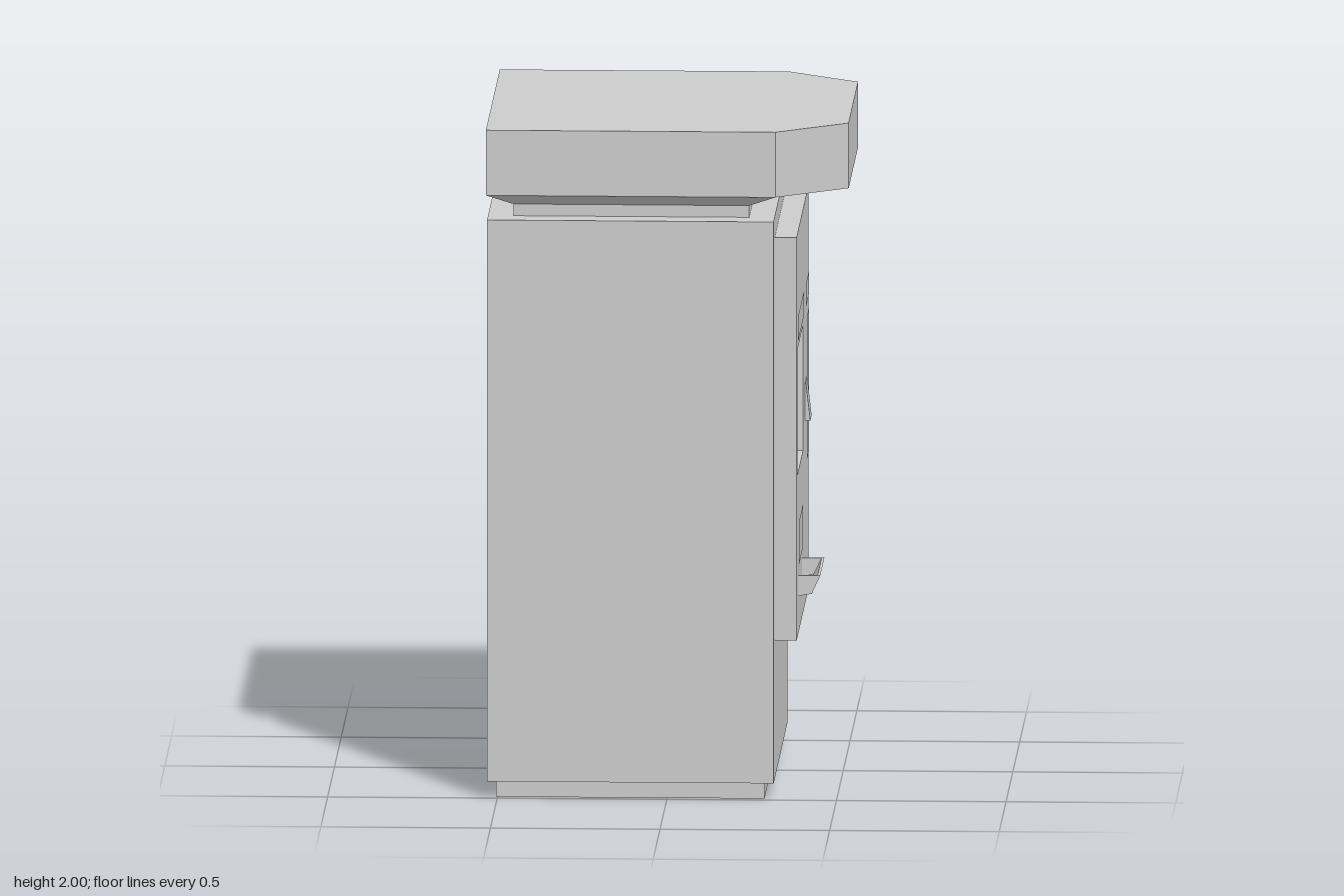
import * as THREE from 'three';

const mat = new THREE.MeshStandardMaterial({ color: 0xcccccc, flatShading: true });
const thinMat = new THREE.MeshStandardMaterial({ color: 0xcccccc, flatShading: true, side: THREE.DoubleSide });

export function createModel() {
  const model = new THREE.Group();
  const add = (name, geometry, material = mat) => {
    const mesh = new THREE.Mesh(geometry, material);
    mesh.name = name;
    model.add(mesh);
    return mesh;
  };

  // Box given by its extents
  const box = (name, x0, x1, y0, y1, z0, z1) =>
    add(name, new THREE.BoxGeometry(x1 - x0, y1 - y0, z1 - z0)
      .translate((x0 + x1) / 2, (y0 + y1) / 2, (z0 + z1) / 2));

  const shapeOf = (pts) => new THREE.Shape(pts.map(([a, b]) => new THREE.Vector2(a, b)));
  const extrude = (shape, depth) => new THREE.ExtrudeGeometry(shape, { depth, bevelEnabled: false });

  // Skin between two four-cornered rings, with a cap on the last one
  const loft = (first, last) => {
    const pos = [];
    const quad = (a, b, c, d) => pos.push(...a, ...b, ...c, ...a, ...c, ...d);
    for (let i = 0; i < 4; i++) {
      const j = (i + 1) % 4;
      quad(first[i], first[j], last[j], last[i]);
    }
    quad(...last);
    const g = new THREE.BufferGeometry();
    g.setAttribute('position', new THREE.Float32BufferAttribute(pos, 3));
    g.computeVertexNormals();
    return g;
  };
  const flatRing = (y, x0, x1, z) => [[x0, y, z], [x1, y, z], [x1, y, -z], [x0, y, -z]];
  const wallRing = (x, y0, y1, z0, z1) => [[x, y0, z1], [x, y0, z0], [x, y1, z0], [x, y1, z1]];

  // Cabinet
  box('plinth', -0.505, 0.287, 0, 0.05, -0.475, 0.475);
  box('cabinet', -0.53, 0.315, 0.05, 1.73, -0.5, 0.5);
  box('neck', -0.455, 0.24, 1.73, 1.765, -0.425, 0.425);

  // Roof with a sloped underside and cut front corners
  add('roofUnderside', loft(flatRing(1.765, -0.455, 0.24, 0.425), flatRing(1.805, -0.533, 0.32, 0.508)), thinMat);
  const roof = shapeOf([[-0.533, -0.508], [0.32, -0.508], [0.53, -0.345], [0.53, 0.345], [0.32, 0.508], [-0.533, 0.508]]);
  add('roof', extrude(roof, 0.195).rotateX(-Math.PI / 2).translate(0, 1.805, 0));

  // Control panel with an opening for the screen (shape x is -z)
  const panel = shapeOf([[-0.425, 0.465], [0.425, 0.465], [0.425, 1.67], [-0.425, 1.67]]);
  panel.holes.push(shapeOf([[-0.36, 0.948], [-0.36, 1.325], [0.05, 1.325], [0.05, 0.948]]));
  add('controlPanel', extrude(panel, 0.065).rotateY(Math.PI / 2).translate(0.315, 0, 0));
  add('screenRecess', loft(wallRing(0.38, 0.948, 1.325, -0.05, 0.36), wallRing(0.33, 0.957, 1.275, -0.018, 0.327)), thinMat);

  // Wedge-shaped card reader
  const reader = shapeOf([[0.37, 1.015], [0.396, 1.015], [0.383, 1.13], [0.37, 1.13]]);
  add('cardReader', extrude(reader, 0.095).translate(0, 0, -0.27));

  // Open ticket tray: floor and lip in one profile, closed at both ends
  const tray = shapeOf([[0.378, 0.578], [0.42, 0.585], [0.445, 0.64], [0.437, 0.64], [0.414, 0.592], [0.378, 0.586]]);
  add('ticketTray', extrude(tray, 0.3).translate(0, 0, 0.015));
  const end = shapeOf([[0.378, 0.578], [0.42, 0.585], [0.445, 0.64], [0.378, 0.64]]);
  for (const z of [0.015, 0.307]) add('trayEnd', extrude(end, 0.008).translate(0, 0, z));

  // Thin blank label plates: y0, y1, z0, z1
  const labels = [
    [1.35, 1.425, -0.05, 0.37],
    [1.35, 1.42, -0.41, -0.19],
    [0.88, 1.31, -0.41, -0.29],
    [0.67, 0.8, 0.015, 0.315],
  ];
  for (const [y0, y1, z0, z1] of labels) {
    add('label', new THREE.PlaneGeometry(z1 - z0, y1 - y0).rotateY(Math.PI / 2)
      .translate(0.382, (y0 + y1) / 2, (z0 + z1) / 2), thinMat);
  }

  return model;
}
